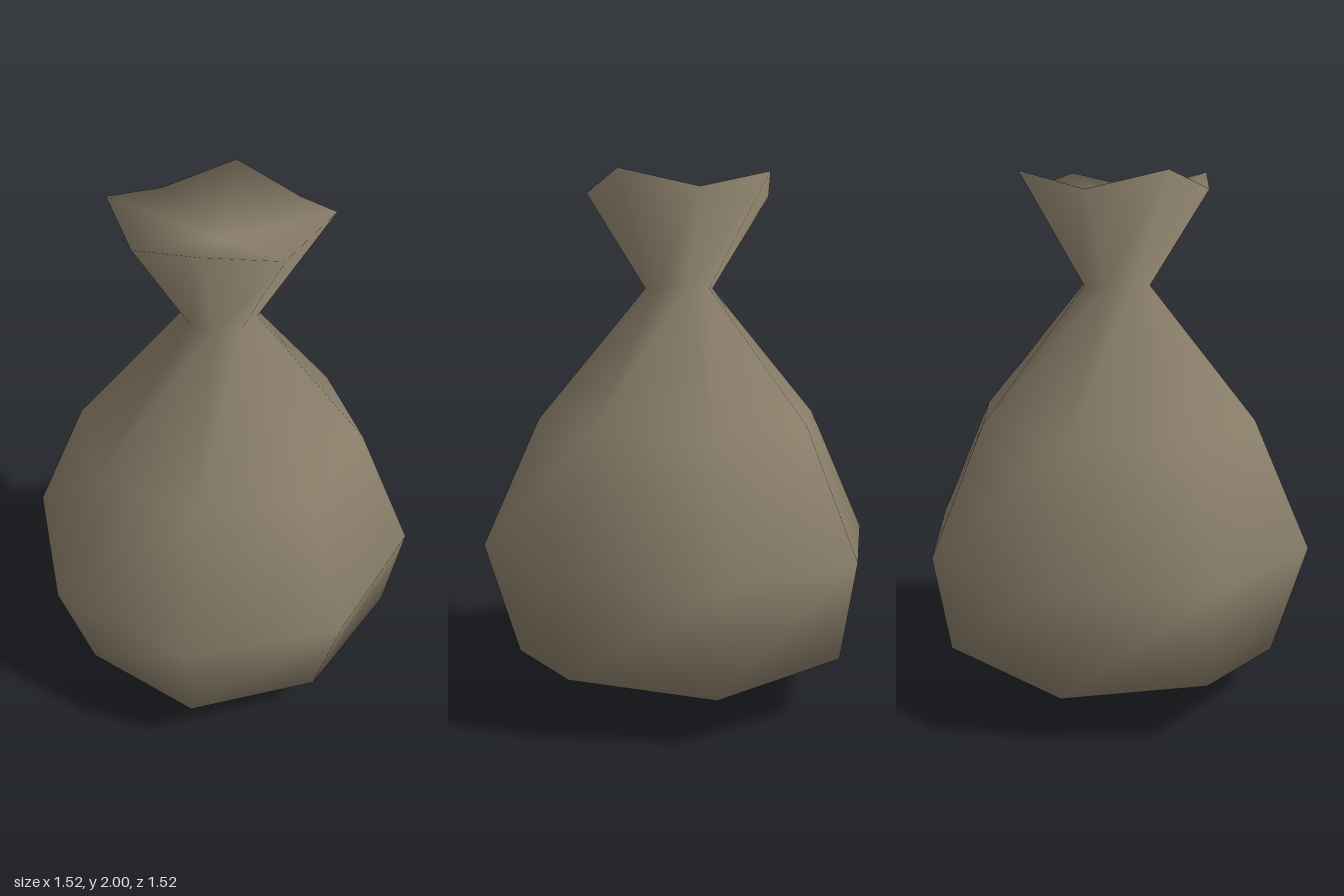
import * as THREE from 'three';

const SIDES = 8;

// Each ring: radius and height on the axes, then radius and height on the diagonals
const RINGS = [
  [0.635, 0.185, 0.70, 0.245], // base
  [0.762, 0.615, 0.762, 0.615], // belly
  [0.545, 1.095, 0.55, 1.095], // shoulder
  [0.132, 1.585, 0.135, 1.585], // tied neck
  [0.352, 1.935, 0.39, 2.0], // flared mouth
];
const BASE_Y = 0;
const MOUTH_Y = 1.87;

function sackGeometry() {
  const positions = [];
  const index = [];

  for (const [axisR, axisY, diagR, diagY] of RINGS) {
    for (let i = 0; i < SIDES; i++) {
      const a = (i / SIDES) * Math.PI * 2;
      const r = i % 2 ? diagR : axisR;
      positions.push(Math.cos(a) * r, i % 2 ? diagY : axisY, Math.sin(a) * r);
    }
  }
  const bottom = RINGS.length * SIDES;
  const top = bottom + 1;
  positions.push(0, BASE_Y, 0, 0, MOUTH_Y, 0);

  const last = (RINGS.length - 1) * SIDES;
  for (let i = 0; i < SIDES; i++) {
    const j = (i + 1) % SIDES;
    // Walls between neighbouring rings
    for (let k = 0; k < last; k += SIDES) {
      const up = k + SIDES;
      index.push(k + i, up + i, k + j, up + i, up + j, k + j);
    }
    // Pointed underside and dished mouth
    index.push(bottom, i, j);
    index.push(top, last + j, last + i);
  }

  const geometry = new THREE.BufferGeometry();
  geometry.setAttribute('position', new THREE.Float32BufferAttribute(positions, 3));
  geometry.setIndex(index);
  geometry.computeVertexNormals(); // smooth over the whole cloth
  return geometry;
}

export function createModel() {
  const group = new THREE.Group();
  group.name = 'sack';

  const cloth = new THREE.MeshStandardMaterial({ color: 0x8a7f6a });
  cloth.name = 'brown cloth';

  const body = new THREE.Mesh(sackGeometry(), cloth);
  body.name = 'sackBody';
  group.add(body);
  return group;
}
